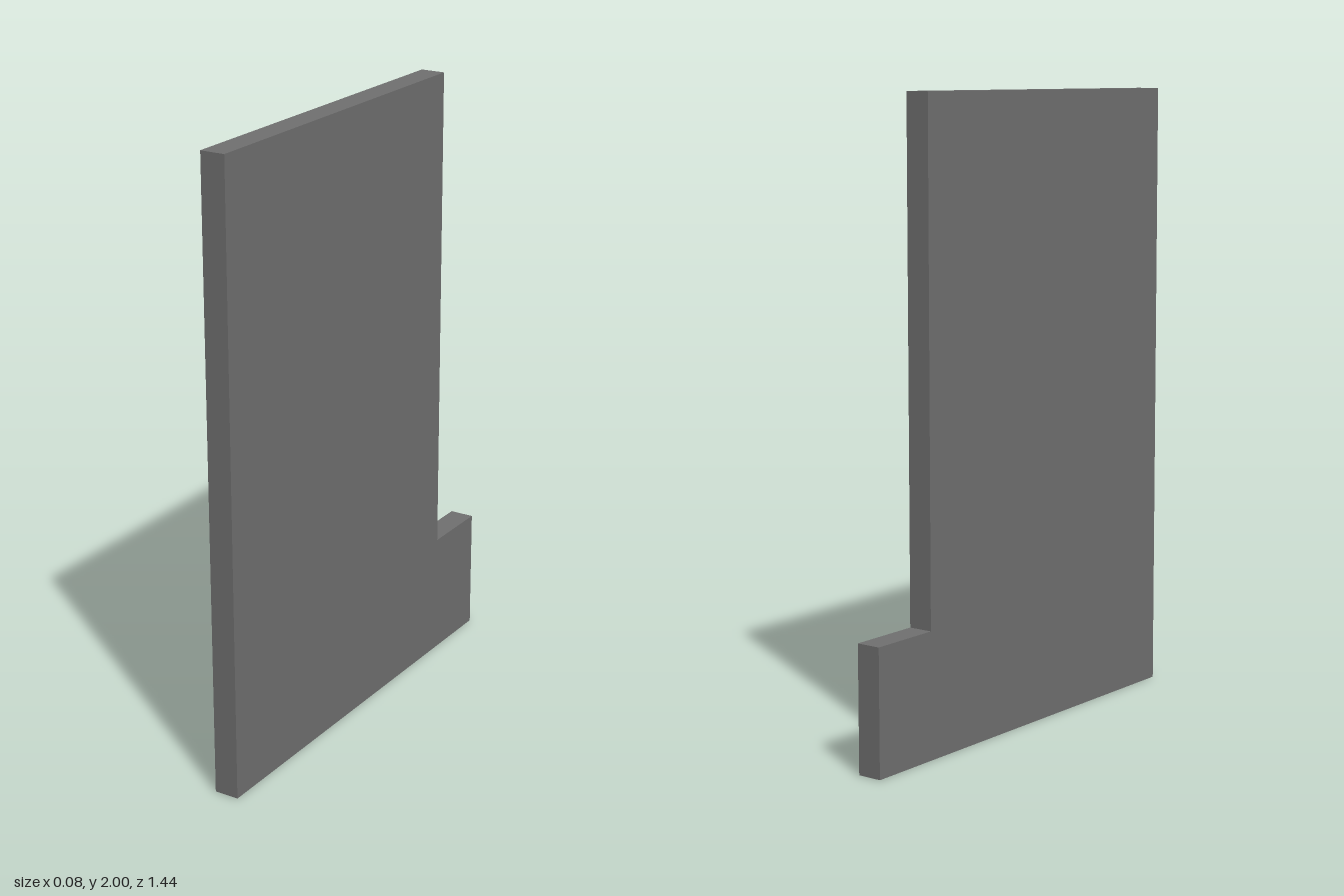
import * as THREE from 'three';

const THICKNESS = 0.08;

export function createModel() {
  const group = new THREE.Group();
  group.name = 'panel';

  // Side profile of the flat panel: x runs towards the back, y is up
  const profile = new THREE.Shape([
    [-0.72, 0], [0.72, 0], [0.72, 0.4], [0.48, 0.4], [0.48, 2], [-0.72, 2],
  ].map(([x, y]) => new THREE.Vector2(x, y)));

  // Extrude the thickness, centre it and turn the profile into the side plane
  const geometry = new THREE.ExtrudeGeometry(profile, { depth: THICKNESS, bevelEnabled: false });
  geometry.translate(0, 0, -THICKNESS / 2).rotateY(Math.PI / 2);

  // Dark grey finish
  const material = new THREE.MeshStandardMaterial({ color: 0x707070 });
  const panel = new THREE.Mesh(geometry, material);
  panel.name = 'notchedPanel';
  group.add(panel);
  return group;
}
